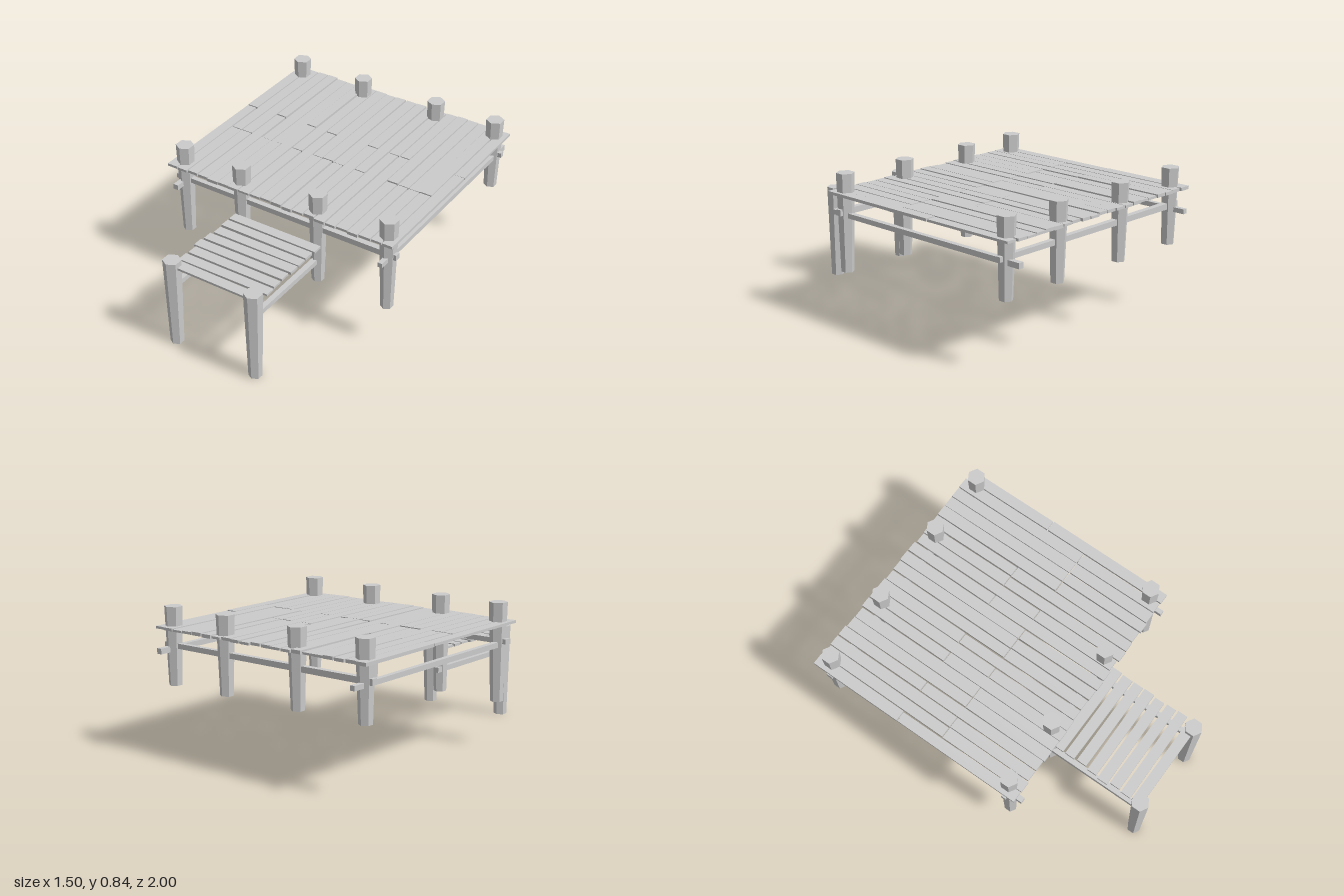
import * as THREE from 'three';

const material = new THREE.MeshStandardMaterial({ color: 0xcccccc, flatShading: true });

// Repeatable noise in -1..1
function makeNoise(seed) {
  let s = seed;
  return () => {
    s = (s * 16807) % 2147483647;
    return (s / 2147483647) * 2 - 1;
  };
}

function add(parent, name, geometry, x, y, z) {
  const mesh = new THREE.Mesh(geometry, material);
  mesh.name = name;
  mesh.position.set(x, y, z);
  parent.add(mesh);
  return mesh;
}

// Six-sided post, narrower at its foot
function addPost(parent, name, x, z, bottom, top, footRadius) {
  const h = top - bottom;
  add(parent, name, new THREE.CylinderGeometry(0.053, footRadius, h, 6), x, bottom + h / 2, z);
}

// Timber running along z whose width and height grow or shrink towards +z
function timber(width, height, length, backScale, frontScale) {
  const g = new THREE.BoxGeometry(width, height, length);
  const p = g.attributes.position;
  for (let i = 0; i < p.count; i++) {
    const s = p.getZ(i) < 0 ? backScale : frontScale;
    p.setXY(i, p.getX(i) * s, p.getY(i) * s);
  }
  g.computeVertexNormals();
  return g;
}

export function createModel() {
  const dock = new THREE.Group();
  dock.name = 'dock';
  const noise = makeNoise(4711);

  // Posts
  const posts = new THREE.Group();
  posts.name = 'posts';
  dock.add(posts);
  for (const x of [-0.68, -0.23, 0.28, 0.675]) addPost(posts, 'backPost', x, -0.89, 0.39, 0.84, 0.038);
  for (const x of [-0.675, -0.28, 0.23, 0.68]) addPost(posts, 'frontPost', x, 0.325, 0.265, 0.84, 0.037);
  for (const x of [-0.305, 0.23]) addPost(posts, 'lowerPost', x, 0.945, 0, 0.56, 0.039);

  // Beams under the deck and the lower landing
  const beams = new THREE.Group();
  beams.name = 'beams';
  dock.add(beams);
  for (const side of [-1, 1]) {
    add(beams, 'sideBeam', timber(0.03, 0.03, 1.42, 1 + 0.07 * side, 1 - 0.07 * side), side * 0.684, 0.599, -0.29);
    const cross = add(beams, 'crossBeam', timber(0.032, 0.032, 1.475, 1 - 0.1 * side, 1 + 0.1 * side),
      0, 0.618, side > 0 ? 0.325 : -0.89);
    cross.rotation.y = Math.PI / 2;
    add(beams, 'landingBeam', timber(0.032, 0.03, 0.69, 1.05, 0.95), side > 0 ? 0.227 : -0.292, 0.4, 0.61);
  }

  // Deck: columns of two boards with staggered joints
  const deck = new THREE.Group();
  deck.name = 'deck';
  dock.add(deck);
  const columns = 21;
  const pitch = 1.5 / columns;
  const farJoints = [0, 3, 6, 8, 12, 14, 15, 20];
  for (let i = 0; i < columns; i++) {
    const joint = farJoints.includes(i) ? -0.39 : -0.13;
    const x = (i - (columns - 1) / 2) * pitch;
    const ends = [[-0.965 + 0.008 * noise(), joint - 0.003], [joint + 0.003, 0.4 + 0.007 * noise()]];
    for (const [z0, z1] of ends) {
      const taper = 0.05 * noise();
      const board = add(deck, 'deckBoard',
        timber(0.065 + 0.004 * noise(), 0.016 + 0.004 * noise(), z1 - z0, 1 + taper, 1 - taper),
        x, 0.722 + 0.002 * noise(), (z0 + z1) / 2);
      board.rotation.y = 0.004 * noise();
    }
  }

  // Lower landing: boards running across
  const landing = new THREE.Group();
  landing.name = 'landing';
  dock.add(landing);
  for (let i = 0; i < 8; i++) {
    const taper = 0.06 * noise();
    const board = add(landing, 'landingBoard',
      timber(0.062, 0.014 + 0.002 * noise(), 0.575 + 0.012 * noise(), 1 + taper, 1 - taper),
      -0.022 + 0.008 * noise(), 0.52, 0.395 + i * 0.0757);
    board.rotation.y = Math.PI / 2 + 0.008 * noise();
  }

  return dock;
}
